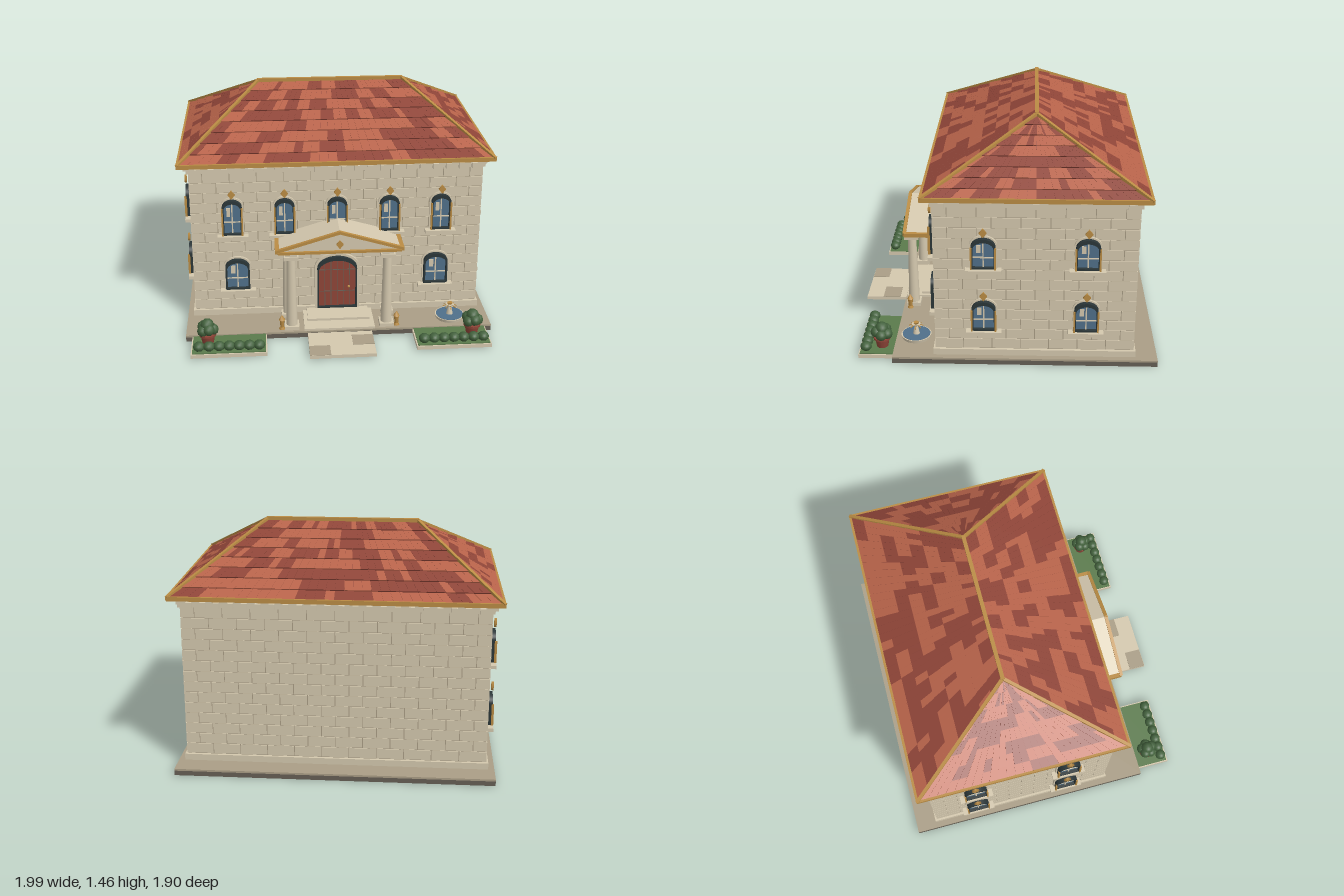
import * as THREE from 'three';
import { mergeGeometries } from 'three/addons/utils/BufferGeometryUtils.js';
import { ConvexGeometry } from 'three/addons/geometries/ConvexGeometry.js';

const paint = (name, color) => Object.assign(new THREE.MeshStandardMaterial({ color }), { name });
const V = (x, y, z) => new THREE.Vector3(x, y, z);

export function createModel() {
  const M = {
    stone: paint('limestone', 0xd4c8ae), paving: paint('paving', 0xaa9e86), base: paint('foundation grey', 0x665f55),
    tileA: paint('light roof tile', 0xb8634a), tileB: paint('dark roof tile', 0x8f4538), gold: paint('gold', 0xba8c44),
    glass: paint('blue glass', 0x50708a), dark: paint('dark frame', 0x2b3638),
    grass: paint('grass', 0x5a7a4b), bush: paint('bush green', 0x43623d),
  };
  const root = new THREE.Group();
  root.name = 'mansion';

  const group = (parent, name, x = 0, y = 0, z = 0) => {
    const g = new THREE.Group();
    g.name = name;
    g.position.set(x, y, z);
    parent.add(g);
    return g;
  };
  const add = (parent, name, geo, mat, x = 0, y = 0, z = 0) => {
    const m = new THREE.Mesh(geo, mat);
    m.name = name;
    m.position.set(x, y, z);
    parent.add(m);
    return m;
  };
  // box given by its limits on each axis
  const box = (parent, name, mat, x0, x1, y0, y1, z0, z1) => add(parent, name,
    new THREE.BoxGeometry(x1 - x0, y1 - y0, z1 - z0), mat, (x0 + x1) / 2, (y0 + y1) / 2, (z0 + z1) / 2);
  // rectangular bar between two points, in the parent's own frame
  const bar = (parent, name, mat, a, b, w, h = w) => {
    const m = add(parent, name, new THREE.BoxGeometry(w, h, a.distanceTo(b) + w * 0.6), mat);
    m.position.copy(a).lerp(b, 0.5);
    m.quaternion.setFromRotationMatrix(new THREE.Matrix4().lookAt(b, a, V(0, 1, 0)));
  };
  const cyl = (parent, name, mat, r1, r0, h, x, y, z, n = 16) =>
    add(parent, name, new THREE.CylinderGeometry(r1, r0, h, n), mat, x, y + h / 2, z);
  const diamond = (parent, x, y, z) => add(parent, 'goldDiamond',
    new THREE.CylinderGeometry(1, 1, 1, 4).toNonIndexed().rotateX(Math.PI / 2).scale(0.023, 0.029, 0.014), M.gold, x, y, z);

  // arched panels and rings
  const arch = (w, h, rise, inset = 0, P = THREE.Shape) => {
    const s = new P(), a = w / 2 - inset;
    s.moveTo(-a, inset);
    s.lineTo(a, inset);
    s.lineTo(a, h - rise);
    s.absellipse(0, h - rise, a, rise - inset, 0, Math.PI, false);
    s.lineTo(-a, inset);
    return s;
  };
  const extrude = (shape, depth) =>
    new THREE.ExtrudeGeometry(shape, { depth, bevelEnabled: false, curveSegments: 14 });
  // drop lowers the top of the opening, for a heavier head
  const ring = (w, h, rise, inset, t, depth, drop = 0) => {
    const s = arch(w, h, rise, inset);
    s.holes.push(arch(w, h - drop, rise, inset + t, THREE.Path));
    return extrude(s, depth);
  };

  // Terrace
  box(root, 'foundation', M.base, -0.975, 0.975, 0, 0.03, -0.95, 0.675);
  box(root, 'terracePaving', M.paving, -0.975, 0.975, 0.03, 0.042, -0.95, 0.675);

  // House walls: mortar core with staggered stone blocks
  const house = group(root, 'house', 0, 0, -0.1975);
  const HX = 0.925, HZ = 0.6075;
  box(house, 'mortarCore', M.paving, -HX + 0.006, HX - 0.006, 0.04, 1.06, -HZ + 0.006, HZ - 0.006);
  box(house, 'plinth', M.stone, -HX - 0.012, HX + 0.012, 0.042, 0.082, -HZ - 0.012, HZ + 0.012);
  box(house, 'cornice', M.stone, -HX - 0.012, HX + 0.012, 1.035, 1.095, -HZ - 0.012, HZ + 0.012);
  const blocks = [], rows = 14, rowH = 0.95 / rows, gap = 0.005;
  for (let side = 0; side < 4; side++) {
    const half = side % 2 ? HZ : HX, dist = side % 2 ? HX : HZ;
    const len = (2 * half) / (side % 2 ? 7 : 11);
    for (let r = 0; r < rows; r++) {
      for (let x = -half - (r % 2 ? len / 2 : 0); x < half - 0.01; x += len) {
        const a = x < -half + 0.001 ? -half : x + gap / 2;
        const b = x + len > half - 0.001 ? half : x + len - gap / 2;
        blocks.push(new THREE.BoxGeometry(b - a, rowH - gap, 0.014)
          .translate((a + b) / 2, 0.085 + (r + 0.5) * rowH, dist - 0.007).rotateY(side * Math.PI / 2));
      }
    }
    // dentils under the eaves
    const n = side % 2 ? 5 : 22;
    for (let i = 0; i < n; i++) {
      blocks.push(new THREE.BoxGeometry(0.035, 0.035, 0.025)
        .translate((i / (n - 1) - 0.5) * 2 * (half - 0.06), 1.053, dist + 0.022).rotateY(side * Math.PI / 2));
    }
  }
  add(house, 'stoneBlocks', mergeGeometries(blocks), M.stone);

  // Hip roof with overlapping tiles
  const roof = group(house, 'roof');
  const EX = 0.983, EZ = 0.663, EY = 1.1, RX = 0.475, RY = 1.442;
  const c = [V(-EX, EY, EZ), V(EX, EY, EZ), V(EX, EY, -EZ), V(-EX, EY, -EZ)];
  const rl = V(-RX, RY, 0), rr = V(RX, RY, 0);
  add(roof, 'roofCore', new ConvexGeometry([...c, rl, rr]), M.tileB);
  const tris = { light: [], dark: [] };
  let seed = 7;
  const rand = () => (seed = (seed * 16807) % 2147483647) / 2147483647;
  const tileFace = (eL, eR, tL, tR, cols, nRows) => {
    const n = eR.clone().sub(eL).cross(tL.clone().sub(eL)).normalize();
    const P = (u, v, lift) => eL.clone().lerp(eR, u).lerp(tL.clone().lerp(tR, u), v).addScaledVector(n, lift);
    for (let r = 0; r < nRows; r++) {
      let list = tris.light, left = 0;
      for (let i = 0; i < cols; i++) {
        if (left-- <= 0) {
          list = rand() < 0.6 ? tris.light : tris.dark;
          left = Math.floor(rand() * 3);
        }
        const u0 = (i + 0.01) / cols, u1 = (i + 0.99) / cols, v0 = r / nRows, v1 = (r + 1) / nRows;
        const a = P(u0, v0, 0.01), b = P(u1, v0, 0.01), d = P(u0, v1, 0.003), e = P(u1, v1, 0.003);
        const a0 = P(u0, v0, 0), b0 = P(u1, v0, 0);
        for (const p of [a, b, e, a, e, d, a0, b0, b, a0, b, a, a0, a, d, b0, e, b]) list.push(p.x, p.y, p.z);
      }
    }
  };
  tileFace(c[0], c[1], rl, rr, 34, 8);
  tileFace(c[1], c[2], rr, rr, 24, 8);
  tileFace(c[2], c[3], rr, rl, 34, 8);
  tileFace(c[3], c[0], rl, rl, 24, 8);
  for (const [key, mat] of [['light', M.tileA], ['dark', M.tileB]]) {
    const g = new THREE.BufferGeometry();
    g.setAttribute('position', new THREE.Float32BufferAttribute(tris[key], 3));
    g.computeVertexNormals();
    add(roof, key + 'Tiles', g, mat);
  }
  const lift = V(0, 0.008, 0);
  bar(roof, 'ridge', M.gold, rl.clone().add(lift), rr.clone().add(lift), 0.024);
  c.forEach((p, i) => {
    bar(roof, 'hip', M.gold, p.clone().add(lift), (i === 0 || i === 3 ? rl : rr).clone().add(lift), 0.02);
    bar(roof, 'eaveTrim', M.gold, p, c[(i + 1) % 4], 0.02, 0.026);
  });

  // Windows, built facing +z with the origin at the bottom centre
  const makeWindow = (parent, x, y, z, turn, w, h, fancy) => {
    const g = group(parent, 'window', x, y, z), rise = Math.min(w * 0.42, 0.065);
    g.rotation.y = turn;
    add(g, 'stoneSurround', ring(w, h, rise, 0, 0.012, 0.014), M.stone);
    add(g, 'darkFrame', ring(w, h, rise, 0.01, 0.011, 0.042, 0.012), M.dark);
    add(g, 'glass', extrude(arch(w, h, rise, 0.018), 0.022), M.glass);
    box(g, 'mullion', M.stone, -0.004, 0.004, 0.02, h - 0.035, 0.02, 0.028);
    box(g, 'crossBar', M.stone, -w / 2 + 0.02, w / 2 - 0.02, h * 0.36, h * 0.36 + 0.007, 0.02, 0.028);
    box(g, 'glint', M.stone, -w * 0.24, -w * 0.08, h * 0.52, h * 0.75, 0.021, 0.026);
    box(g, 'sill', M.stone, -w / 2 - 0.025, w / 2 + 0.025, -0.02, 0.002, -0.005, 0.05);
    if (!fancy) return;
    diamond(g, 0, h + 0.031, 0.04);
    for (const s of [-1, 1])
      box(g, 'goldStrip', M.gold, s * (w / 2 - 0.011) - 0.005, s * (w / 2 - 0.011) + 0.005, 0.01, h - rise, 0.035, 0.05);
  };
  for (const x of [-0.663, -0.333, 0, 0.333, 0.663]) makeWindow(house, x, 0.615, HZ, 0, 0.145, 0.255, true);
  for (const s of [-1, 1]) {
    makeWindow(house, s * 0.642, 0.23, HZ, 0, 0.175, 0.23, false);
    for (const z of [0.308, -0.309])
      for (const y of [0.222, 0.64]) makeWindow(house, s * HX, y, z, s * Math.PI / 2, 0.165, 0.215, true);
  }

  // Front door
  const door = group(root, 'frontDoor', 0, 0.065, 0.41);
  add(door, 'doorSurround', ring(0.29, 0.4, 0.1, 0, 0.02, 0.02), M.stone);
  add(door, 'doorFrame', ring(0.29, 0.4, 0.1, 0.016, 0.01, 0.042, 0.016), M.dark);
  add(door, 'doorPanel', extrude(arch(0.29, 0.4, 0.1, 0.024), 0.024), M.tileB);
  for (let i = -2; i <= 2; i++) box(door, 'doorGroove', M.base, i * 0.04 - 0.002, i * 0.04 + 0.002, 0.03, 0.35, 0.022, 0.027);
  for (const y of [0.13, 0.285]) box(door, 'doorBand', M.base, -0.115, 0.115, y, y + 0.004, 0.022, 0.027);
  add(door, 'doorKnob', new THREE.SphereGeometry(0.009, 10, 8), M.gold, 0.075, 0.165, 0.032);

  // Portico
  const portico = group(root, 'portico');
  box(portico, 'lowerStep', M.stone, -0.225, 0.225, 0.04, 0.055, 0.41, 0.67);
  box(portico, 'upperStep', M.stone, -0.2, 0.2, 0.055, 0.07, 0.41, 0.57);
  const column = (x, z, r) => {
    const g = group(portico, 'column', x, 0.042, z);
    box(g, 'columnBase', M.stone, -r - 0.01, r + 0.01, 0, 0.024, -r - 0.01, r + 0.01);
    cyl(g, 'shaft', M.stone, r * 0.75, r, 0.475, 0, 0.02, 0);
    box(g, 'capital', M.stone, -r - 0.01, r + 0.01, 0.492, 0.515, -r - 0.01, r + 0.01);
    box(g, 'capitalBlock', M.stone, -r, r, 0.51, 0.545, -r, r);
  };
  const gable = new THREE.Shape();
  gable.moveTo(-0.39, 0.58);
  gable.lineTo(0.39, 0.58);
  gable.lineTo(0.39, 0.598);
  gable.lineTo(0, 0.715);
  gable.lineTo(-0.39, 0.598);
  add(portico, 'pediment', extrude(gable, 0.233), M.stone, 0, 0, 0.41);
  box(portico, 'pedimentBeam', M.gold, -0.385, 0.385, 0.576, 0.592, 0.635, 0.66);
  diamond(portico, 0, 0.632, 0.646);
  for (const s of [-1, 1]) {
    column(s * 0.303, 0.61, 0.036);
    column(s * 0.325, 0.45, 0.03);
    bar(portico, 'rakeTrim', M.gold, V(s * 0.39, 0.597, 0.648), V(0, 0.714, 0.648), 0.022, 0.018);
    bar(portico, 'sideTrim', M.gold, V(s * 0.389, 0.59, 0.42), V(s * 0.389, 0.59, 0.64), 0.026);
    // lanterns beside the columns
    const lamp = group(portico, 'lantern', s * 0.367, 0.042, 0.63);
    cyl(lamp, 'lanternFoot', M.gold, 0.014, 0.02, 0.015, 0, 0, 0, 8);
    cyl(lamp, 'lanternBody', M.gold, 0.017, 0.013, 0.05, 0, 0.015, 0, 6);
    cyl(lamp, 'lanternCap', M.gold, 0, 0.021, 0.035, 0, 0.065, 0, 6);
  }

  // Front path
  const path = group(root, 'path');
  box(path, 'pathSlab', M.stone, -0.205, 0.205, 0.006, 0.028, 0.66, 0.947);
  box(path, 'darkPaver', M.paving, -0.205, -0.075, 0.027, 0.031, 0.835, 0.945);
  box(path, 'darkPaver', M.paving, 0.07, 0.205, 0.027, 0.031, 0.72, 0.835);

  // Garden beds with hedge and potted shrub
  for (const s of [-1, 1]) {
    const bed = group(root, 'gardenBed', s * 0.7, 0, 0.78);
    box(bed, 'bedCurb', M.stone, -0.235, 0.235, 0.006, 0.03, -0.11, 0.11);
    box(bed, 'lawn', M.grass, -0.227, 0.227, 0.028, 0.036, -0.108, 0.102);
    for (let i = 0; i < 7; i++) add(bed, 'hedgeBush',
      new THREE.IcosahedronGeometry(0.036, 1).scale(1, 0.85, 1), M.bush, -0.185 + i * 0.062, 0.063, 0.066);
    const px = s * 0.133, pz = -0.028;
    cyl(bed, 'pot', M.tileB, 0.048, 0.035, 0.065, px, 0.034, pz, 12);
    cyl(bed, 'potRim', M.tileB, 0.054, 0.054, 0.012, px, 0.09, pz, 12);
    for (let i = 0; i < 5; i++) {
      const a = i * Math.PI * 0.4;
      add(bed, 'shrubLeaves', new THREE.IcosahedronGeometry(0.036, 1), M.bush,
        px + 0.034 * Math.cos(a), 0.128 + (i % 2) * 0.012, pz + 0.034 * Math.sin(a));
    }
    add(bed, 'shrubTop', new THREE.IcosahedronGeometry(0.042, 1), M.bush, px, 0.16, pz);
  }

  // Fountain
  const fountain = group(root, 'fountain', 0.727, 0.042, 0.55);
  cyl(fountain, 'basin', M.stone, 0.095, 0.09, 0.02, 0, 0, 0, 24);
  cyl(fountain, 'water', M.glass, 0.088, 0.088, 0.004, 0, 0.018, 0, 24);
  cyl(fountain, 'pedestal', M.stone, 0.01, 0.022, 0.06, 0, 0.02, 0, 12);
  cyl(fountain, 'bowl', M.stone, 0.028, 0.01, 0.016, 0, 0.075, 0, 12);
  cyl(fountain, 'finial', M.gold, 0.018, 0.012, 0.012, 0, 0.09, 0, 8);
  for (let i = 0; i < 8; i++) {
    const a = i * Math.PI / 4;
    bar(fountain, 'spout', M.gold, V(0.015 * Math.cos(a), 0.09, 0.015 * Math.sin(a)),
      V(0.045 * Math.cos(a), 0.078, 0.045 * Math.sin(a)), 0.004);
  }
  return root;
}
